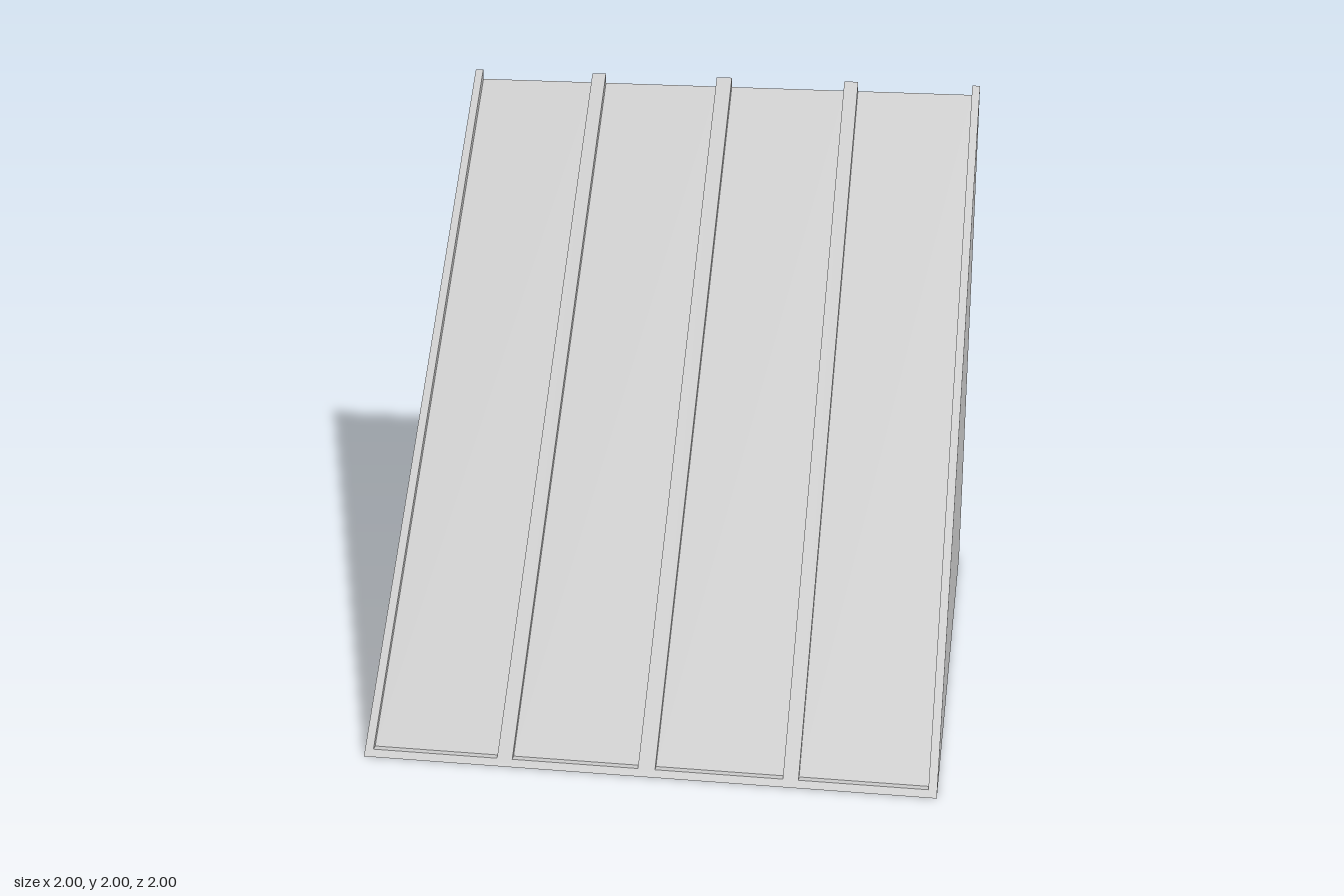
import * as THREE from 'three';

// Thin sheet-metal skin, open underneath
const material = new THREE.MeshStandardMaterial({ color: 0xcccccc, side: THREE.DoubleSide, flatShading: true });

const RIB = 0.027;     // half width of a rib
const LIP = 0.02;      // height of the lip under each panel
const PANEL_Z = 0.957; // front edge of a panel
const PANEL_TOP = 1.963;
const centres = [-0.75, -0.25, 0.25, 0.75];
const halfPanel = [[-0.97, -0.5 - RIB], [-0.5 + RIB, -RIB - 0.003]];
const bays = [...halfPanel, ...halfPanel.map(([a, b]) => [-b, -a]).reverse()];

// Flat sheet from [x, y] points, facing +z
function sheet(points) {
  return new THREE.ShapeGeometry(new THREE.Shape(points.map(([x, y]) => new THREE.Vector2(x, y))));
}

// Sheet drawn in [z, y], placed at x and facing +x (dir 1) or -x (dir -1)
function sideSheet(points, x, dir) {
  return sheet(points.map(([z, y]) => [-dir * z, y])).rotateY(dir * Math.PI / 2).translate(x, 0, 0);
}

// Strip running in x between two [z, y] points, lower edge first
function strip(x0, x1, [z0, y0], [z1, y1]) {
  const g = new THREE.BufferGeometry();
  g.setAttribute('position', new THREE.Float32BufferAttribute(
    [x0, y0, z0, x1, y0, z0, x1, y1, z1, x0, y1, z1], 3));
  g.setIndex([0, 1, 2, 0, 2, 3]);
  g.computeVertexNormals();
  return g;
}

// Rectangle outline whose top edge is notched at every bay
function notched(height, notchFloor) {
  const points = [[1, 0], [1, height]];
  for (const [a, b] of [...bays].reverse()) {
    points.push([b, height], [b, notchFloor], [a, notchFloor], [a, height]);
  }
  points.push([-1, height], [-1, 0]);
  return sheet(points);
}

export function createModel() {
  const model = new THREE.Group();
  const add = (name, geometry, parent = model) => {
    const mesh = new THREE.Mesh(geometry, material);
    mesh.name = name;
    parent.add(mesh);
  };

  // Sloping ribs joined by the bottom lip
  add('ribFrame', notched(2 * Math.SQRT2, LIP * Math.SQRT2).rotateX(-Math.PI / 4).translate(0, 0, 1));

  // Upright back, stepped where the ribs end
  add('backWall', notched(2, PANEL_TOP).rotateY(Math.PI).translate(0, 0, -1));

  // Triangular ends
  const triangle = [[1, 0], [-1, 0], [-1, 2]];
  add('leftWall', sideSheet(triangle, 1, 1));
  add('rightWall', sideSheet(triangle, -1, -1));

  // Sunken roof panels with their ledges and rib flanks
  const front = [1 - LIP, LIP], foot = [PANEL_Z, LIP], top = [-1, PANEL_TOP];
  const flank = [front, foot, top, [-1, 2]];
  bays.forEach(([a, b], i) => {
    const bay = new THREE.Group();
    bay.name = `panelBay${i + 1}`;
    add('panel', strip(a, b, foot, top), bay);
    add('ledge', strip(a, b, front, foot), bay);
    add('ribFlankRight', sideSheet(flank, a, 1), bay);
    add('ribFlankLeft', sideSheet(flank, b, -1), bay);
    model.add(bay);
  });

  return model;
}
